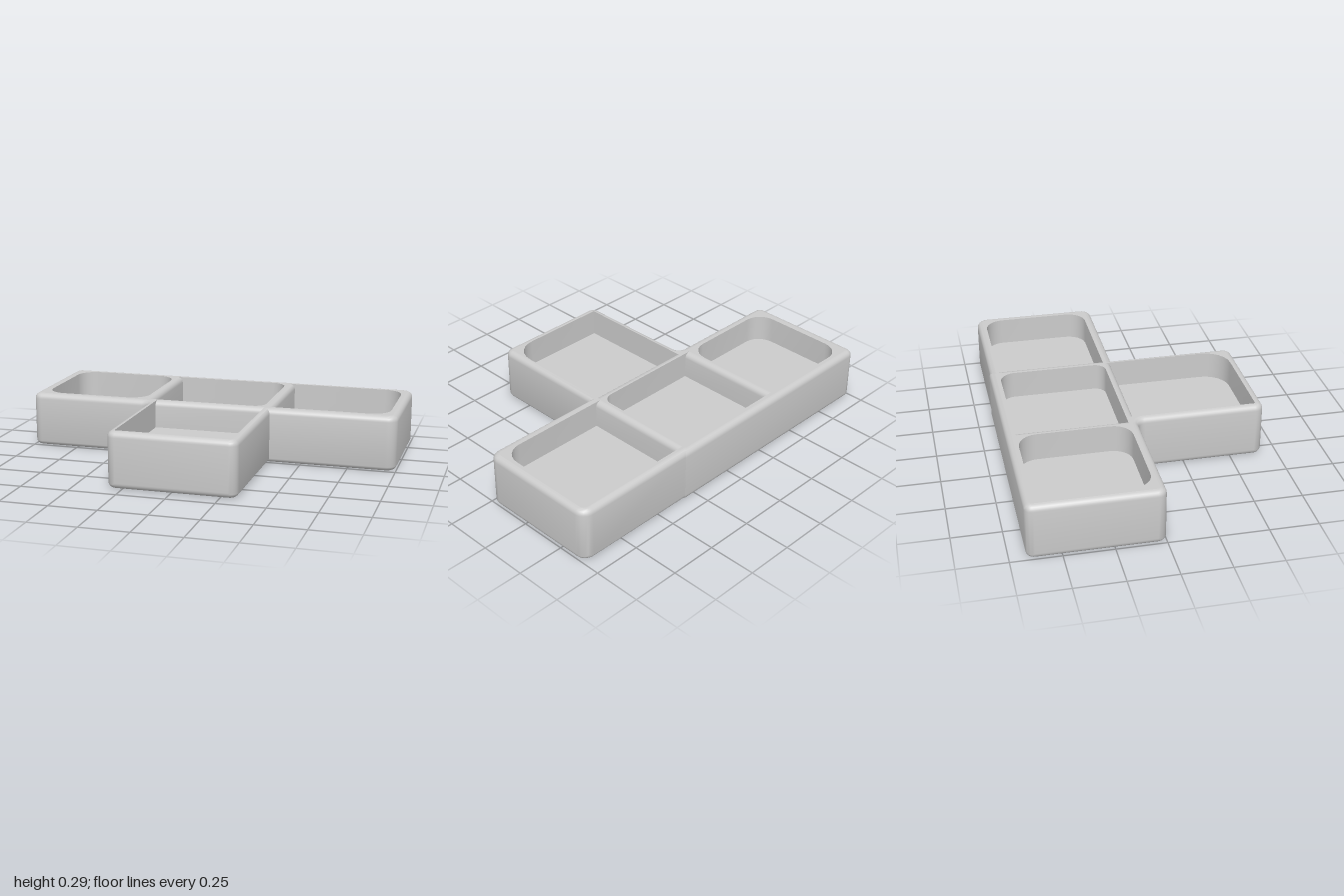
import * as THREE from 'three';
import { toCreasedNormals } from 'three/addons/utils/BufferGeometryUtils.js';

const HEIGHT = 0.29, FLOOR = 0.145, FILLET = 0.03, STEPS = 6;
const material = new THREE.MeshStandardMaterial({ color: 0xcccccc, roughness: 0.7 });

// Plan points are (x, -z), counterclockwise seen from above.
// corners: [x, z, radius]; the outline is inset by d and its corners rounded.
function outline(corners, d = 0) {
  const n = corners.length;
  const p = corners.map(([x, z]) => new THREE.Vector2(x, -z));
  const dir = p.map((a, i) => p[(i + 1) % n].clone().sub(a).normalize());
  const points = [];
  corners.forEach(([, , r], i) => {
    const before = dir[(i + n - 1) % n], after = dir[i];
    const v = p[i].clone();
    for (const e of [before, after]) v.add(new THREE.Vector2(-e.y * d, e.x * d));
    if (r === 0) { points.push(v); return; }
    const radius = before.cross(after) > 0 ? r - d : r + d;
    const u = before.clone().negate();
    const centre = v.clone().addScaledVector(u, radius).addScaledVector(after, radius);
    for (let k = 0; k <= STEPS; k++) {
      const a = (k / STEPS) * Math.PI / 2;
      points.push(centre.clone()
        .addScaledVector(after, -radius * Math.cos(a))
        .addScaledVector(u, -radius * Math.sin(a)));
    }
  });
  return points;
}

// Skin over rings of { points, y }, bottom to top
function loft(rings) {
  const n = rings[0].points.length, position = [], index = [];
  for (const { points, y } of rings) for (const q of points) position.push(q.x, y, -q.y);
  for (let i = 0; i < rings.length - 1; i++) {
    for (let j = 0; j < n; j++) {
      const a = i * n + j, b = i * n + (j + 1) % n;
      index.push(a, b, b + n, a, b + n, a + n);
    }
  }
  const geometry = new THREE.BufferGeometry();
  geometry.setAttribute('position', new THREE.Float32BufferAttribute(position, 3));
  geometry.setIndex(index);
  return toCreasedNormals(geometry, 0.7);
}

// Flat horizontal face with optional holes
function cap(points, y, holes = [], down = false) {
  const shape = new THREE.Shape(points);
  shape.holes = holes.map((h) => new THREE.Path(h));
  const geometry = new THREE.ShapeGeometry(shape).rotateX(-Math.PI / 2).translate(0, y, 0);
  if (down) {
    geometry.index.array.reverse();
    geometry.computeVertexNormals();
  }
  return geometry;
}

function addMesh(parent, name, geometry) {
  const mesh = new THREE.Mesh(geometry, material);
  mesh.name = name;
  parent.add(mesh);
}

// T-shaped outline, with the shallow step where the end tray joins at the back
const TRAY = [
  [-1, 0, 0.045], [-0.33, 0, 0.04], [-0.33, 0.67, 0.045], [0.335, 0.67, 0.045],
  [0.335, 0, 0], [1, 0, 0.055], [1, -0.665, 0.06], [0.33, -0.665, 0],
  [0.33, -0.67, 0], [-1, -0.67, 0.04],
];

// Compartments; radii run front left, front right, back right, back left as seen from above.
// rollX and rollZ round the rim over the -x or the -z wall.
const POCKETS = [
  { name: 'rightCompartment', x: [-0.94, -0.37], z: [-0.62, -0.05], r: [0.1, 0.1, 0.1, 0.1] },
  { name: 'centreCompartment', x: [-0.33, 0.29], z: [-0.62, -0.05], r: [0, 0.06, 0.08, 0], rollX: 1 },
  { name: 'leftCompartment', x: [0.335, 0.95], z: [-0.62, -0.05], r: [0, 0.1, 0.1, 0], rollX: 1 },
  { name: 'frontCompartment', x: [-0.295, 0.3], z: [-0.01, 0.63], r: [0, 0.13, 0, 0], rollZ: 1 },
];

function pocketOutline({ x, z, r, rollX = 0, rollZ = 0 }, flare) {
  const x0 = x[0] - rollX * flare, z0 = z[0] - rollZ * flare;
  return outline([
    [x0, z[1], r[0]], [x[1], z[1], r[1]], [x[1], z0, r[2]], [x0, z0, r[3]],
  ]).reverse();
}

export function createModel() {
  const group = new THREE.Group();
  group.name = 'compartmentTray';

  // Quarter-round edge: k = 0 on the side wall, k = STEPS on the flat face
  const edge = Array.from({ length: STEPS + 1 }, (_, k) => {
    const a = (k / STEPS) * Math.PI / 2;
    return { inset: FILLET * (1 - Math.cos(a)), rise: FILLET * Math.sin(a) };
  });

  // Outer shell, rounded along the bottom and the rim
  const lower = edge.map(({ inset, rise }) => ({ points: outline(TRAY, inset), y: FILLET - rise })).reverse();
  const upper = edge.map(({ inset, rise }) => ({ points: outline(TRAY, inset), y: HEIGHT - FILLET + rise }));
  addMesh(group, 'outerWall', loft([...lower, ...upper]));

  const inner = outline(TRAY, FILLET);
  addMesh(group, 'underside', cap(inner, 0, [], true));
  addMesh(group, 'rim', cap(inner, HEIGHT, POCKETS.map((p) => pocketOutline(p, FILLET))));

  // Compartment walls and floors
  for (const pocket of POCKETS) {
    const part = new THREE.Group();
    part.name = pocket.name;
    const rings = [{ points: pocketOutline(pocket, 0), y: FLOOR }];
    for (const { inset, rise } of edge) {
      rings.push({ points: pocketOutline(pocket, inset), y: HEIGHT - FILLET + rise });
    }
    addMesh(part, 'compartmentWall', loft(rings));
    addMesh(part, 'compartmentFloor', cap(pocketOutline(pocket, 0), FLOOR));
    group.add(part);
  }
  return group;
}
